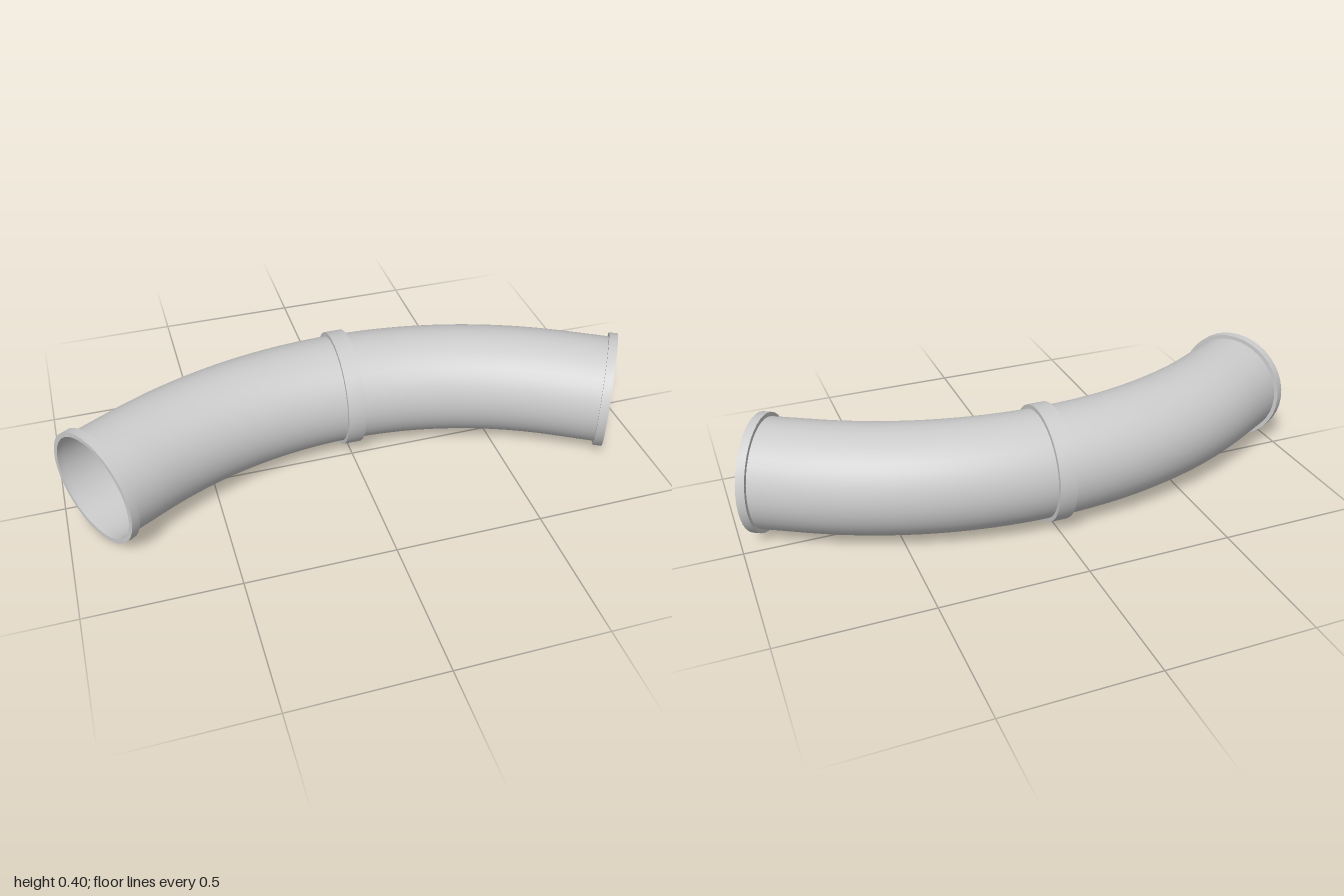
import * as THREE from 'three';
import { toCreasedNormals } from 'three/addons/utils/BufferGeometryUtils.js';

const BEND = 1.49;            // bend radius
const ANGLE = Math.PI / 6;    // bend of each half
const STRAIGHT = 0.178;       // straight run at each end
const HALF = BEND * ANGLE + STRAIGHT;
const AXIS_Y = 0.2, MID_Z = -0.132;

// Centre line: a shallow arc with short straight ends
class PipePath extends THREE.Curve {
  getPoint(t, target = new THREE.Vector3()) {
    const s = (2 * t - 1) * HALF;
    const a = Math.min(Math.abs(s) / BEND, ANGLE);
    const rest = Math.abs(s) - a * BEND;
    const x = BEND * Math.sin(a) + rest * Math.cos(a);
    const z = BEND * (1 - Math.cos(a)) + rest * Math.sin(a);
    return target.set(Math.sign(s) * x, AXIS_Y, MID_Z + z);
  }
}

// Flat collar with a rectangular section, its axis along x
function collar(name, width, material) {
  const h = width / 2, inner = 0.184, outer = 0.2;
  const profile = [[inner, -h], [outer, -h], [outer, h], [inner, h], [inner, -h]]
    .map(([r, y]) => new THREE.Vector2(r, y));
  const geometry = new THREE.LatheGeometry(profile, 40).rotateZ(-Math.PI / 2);
  const mesh = new THREE.Mesh(toCreasedNormals(geometry, Math.PI / 5), material);
  mesh.name = name;
  return mesh;
}

export function createModel() {
  const group = new THREE.Group();
  group.name = 'curvedPipe';
  const material = new THREE.MeshStandardMaterial({ color: 0xcccccc, side: THREE.DoubleSide });
  const path = new PipePath();

  // Open thin-walled pipe
  const pipe = new THREE.Mesh(new THREE.TubeGeometry(path, 48, 0.186, 40, false), material);
  pipe.name = 'pipe';
  group.add(pipe);

  // Joint collar in the middle
  const joint = collar('middleCollar', 0.06, material);
  joint.position.set(0, AXIS_Y, MID_Z);
  group.add(joint);

  // End collars, flush with the pipe mouths
  for (const side of [-1, 1]) {
    const end = collar(side > 0 ? 'leftEndCollar' : 'rightEndCollar', 0.03, material);
    path.getPoint(0.5 + side * 0.5 * (1 - 0.015 / HALF), end.position);
    end.rotation.y = -side * ANGLE;
    group.add(end);
  }
  return group;
}
